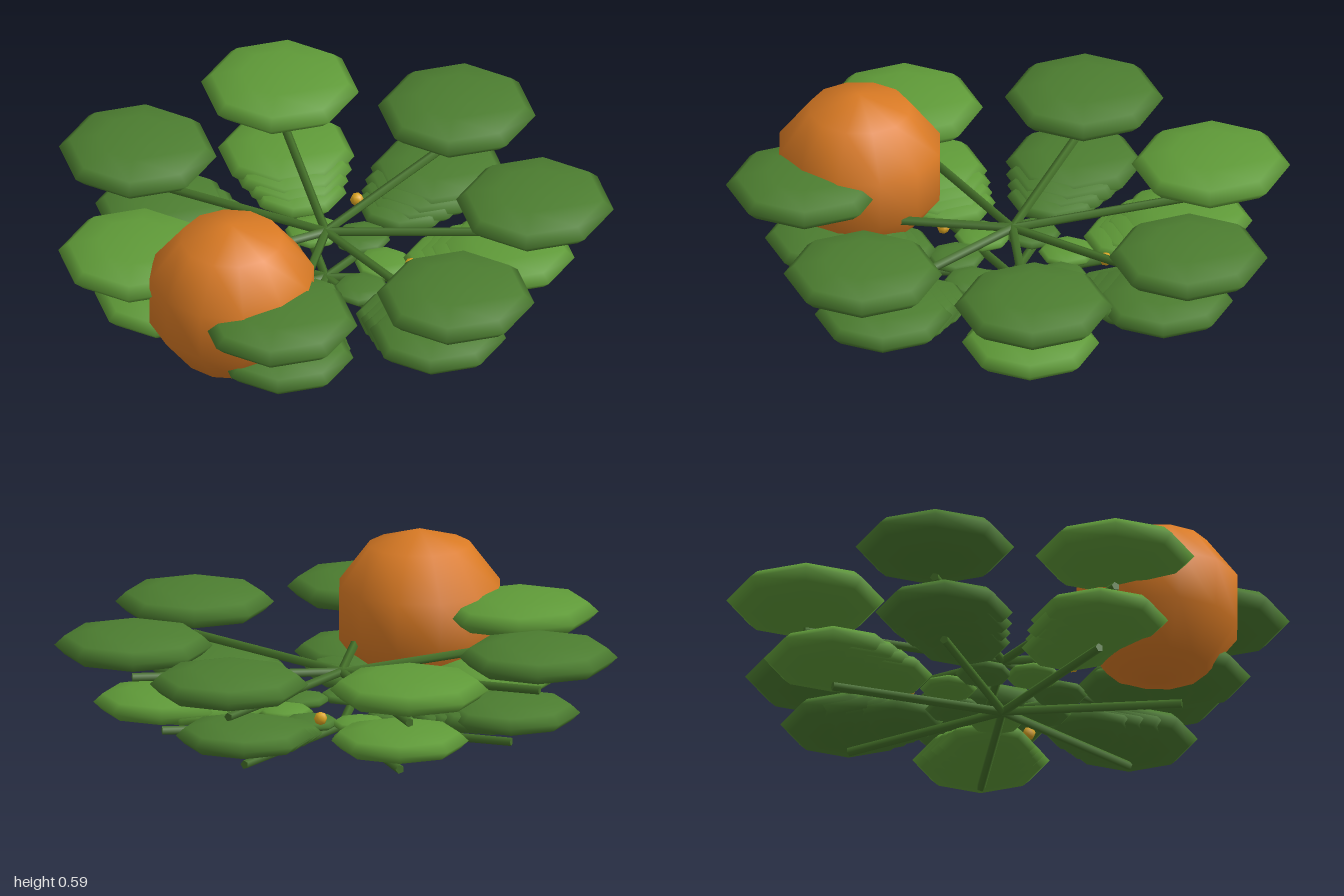
import * as THREE from 'three';

const mat = (name, color) => new THREE.MeshStandardMaterial({ name, color });

export function createModel() {
  const model = new THREE.Group();
  model.name = 'gourdPlant';
  const lightLeaf = mat('light leaf green', 0x5f9a38);
  const darkLeaf = mat('dark leaf green', 0x4c7d30);
  const vine = mat('vine green', 0x447029);
  const orange = mat('pumpkin orange', 0xd97a24);
  const yellow = mat('flower yellow', 0xdda522);

  const plant = new THREE.Group();
  plant.name = 'plant';
  plant.position.x = -0.03;
  model.add(plant);

  const leafGeo = new THREE.SphereGeometry(1, 8, 6);
  const add = (name, geo, material, x, y, z, parent = plant) => {
    const mesh = new THREE.Mesh(geo, material);
    mesh.name = name;
    mesh.position.set(x, y, z);
    parent.add(mesh);
    return mesh;
  };

  // Flattened leaf at a distance from the hub along a vine
  const addLeaf = (name, material, angle, dist, y, r) =>
    add(name, leafGeo, material, dist * Math.cos(angle), y, -dist * Math.sin(angle))
      .scale.set(r, r * 0.25, r);

  // Straight vine running out from the hub
  const addVine = (name, angle, length, y, r) => {
    const geo = new THREE.CylinderGeometry(r, r, length, 5).rotateZ(-Math.PI / 2);
    geo.translate(length / 2, 0, 0);
    add(name, geo, vine, 0, y, 0).rotation.y = angle;
  };

  // Inner to outer leaves of a ground vine: distance, radius, height
  const groundLeaves = [
    [0.2, 0.1, 0.075], [0.44, 0.17, 0.09], [0.5, 0.19, 0.1],
    [0.56, 0.215, 0.11], [0.63, 0.24, 0.122],
  ];

  for (let k = 0; k < 7; k++) {
    const a = (k / 7) * Math.PI * 2;
    addVine('groundVine', a, 0.63, 0.017, 0.016);
    addVine('upperVine', a, 0.735, 0.212, 0.016);
    for (const [d, r, y] of groundLeaves) {
      addLeaf('groundLeaf', k % 2 ? lightLeaf : darkLeaf, a, d, y, r);
    }
    addLeaf('upperLeaf', k === 3 || k === 5 ? lightLeaf : darkLeaf, a, 0.73, 0.33, 0.277);
  }

  // Pumpkin resting among the front leaves
  const pumpkin = add('pumpkin', new THREE.SphereGeometry(0.305, 12, 5), orange, 0.16, 0.297, 0.57, model);
  pumpkin.scale.y = 0.96;

  // Small blossoms
  const blossom = new THREE.SphereGeometry(0.024, 6, 4);
  for (const [x, z] of [[-0.21, -0.28], [0.22, -0.18], [0.335, -0.23], [0.045, 0.27]]) {
    add('blossom', blossom, yellow, x, 0.13, z, model);
  }
  return model;
}
